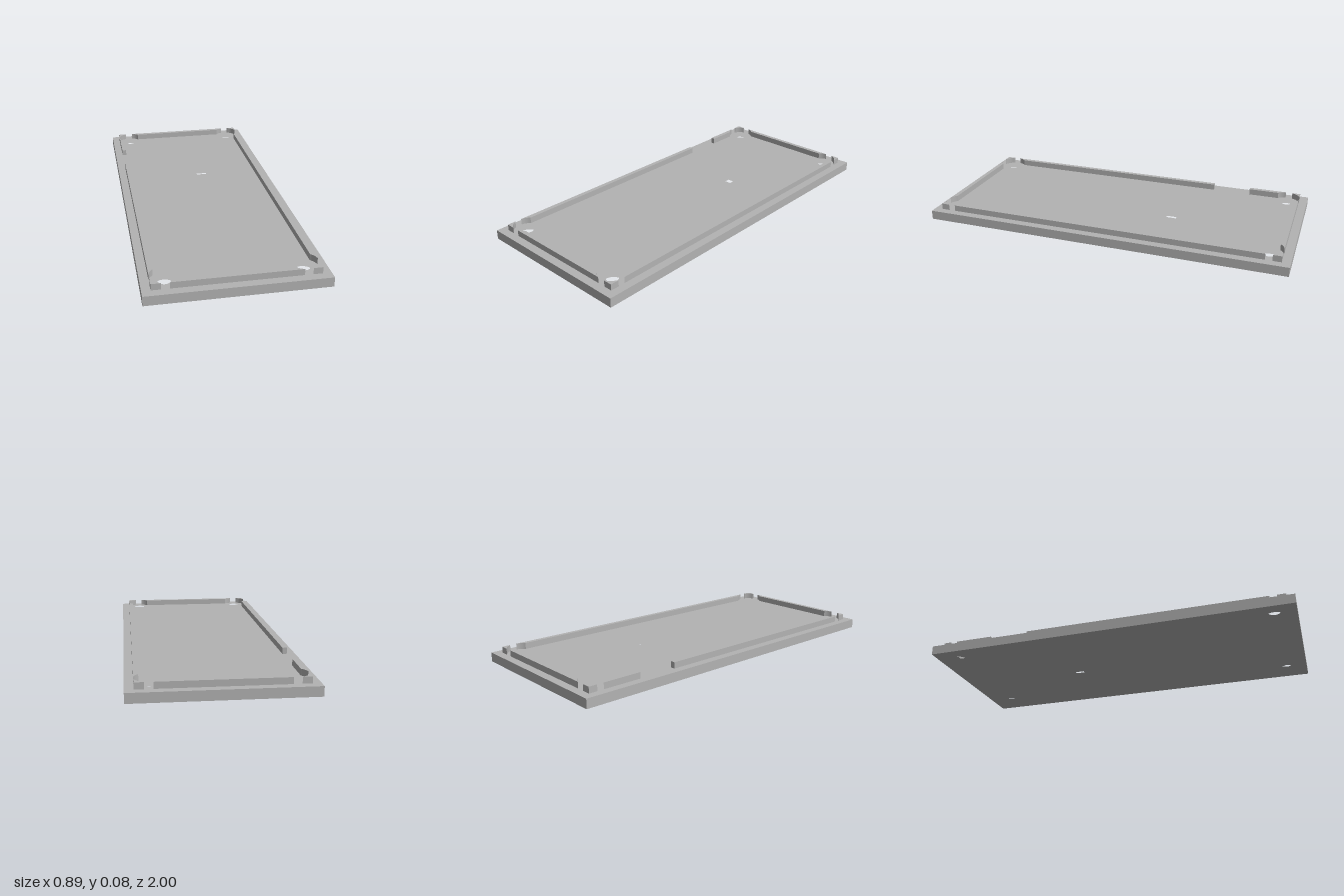
import * as THREE from 'three';

const HALF_X = 0.447, HALF_Z = 1;              // plate
const RIM_X = 0.404, RIM_Z = 0.956, RIM_T = 0.024; // lip outer extents, thickness
const HOLE_X = 0.333, HOLE_Z = 0.886;          // screw hole centres
const CLEAR = 0.072;                           // round clearance cut from the lip
const Y_STEP = 0.025, Y_PLATE = 0.05, Y_RIM = 0.083;

export function createModel() {
  const group = new THREE.Group();
  const grey = new THREE.MeshStandardMaterial({ color: 0xb3b3b3 });
  grey.name = 'grey plastic';

  // Extrude a plan shape (points are x, -z) between two heights
  function slab(name, shape, y0, y1) {
    const geo = new THREE.ExtrudeGeometry(shape, { depth: y1 - y0, bevelEnabled: false, curveSegments: 40 });
    geo.rotateX(-Math.PI / 2);
    geo.translate(0, y0, 0);
    const mesh = new THREE.Mesh(geo, grey);
    mesh.name = name;
    group.add(mesh);
  }
  const polygon = (pts) => new THREE.Shape(pts.map(([x, z]) => new THREE.Vector2(x, -z)));
  const rect = (x0, x1, z0, z1) => [[x0, z0], [x1, z0], [x1, z1], [x0, z1]];

  // Base plate in two layers: wide screw-head recesses below, narrow holes above
  function plate(name, holeRadius, y0, y1) {
    const shape = polygon(rect(-HALF_X, HALF_X, -HALF_Z, HALF_Z));
    for (const sx of [-1, 1]) for (const sz of [-1, 1]) {
      shape.holes.push(new THREE.Path().absarc(sx * HOLE_X, sz * HOLE_Z, holeRadius, 0, Math.PI * 2, true));
    }
    shape.holes.push(polygon(rect(0.021, 0.09, -0.335, -0.266)));
    slab(name, shape, y0, y1);
  }
  plate('lowerPlate', 0.048, 0, Y_STEP);
  plate('upperPlate', 0.031, Y_STEP, Y_PLATE);

  // Lip rail along u, facing outward in v; an end left null is cut round the screw hole
  function rail(name, outer, holeU, holeV, map, u0 = null, u1 = null) {
    const start = [], end = [];
    for (let i = 0; i <= 8; i++) {
      const v = outer - RIM_T * (1 - i / 8);
      const cut = holeU - Math.sqrt(CLEAR ** 2 - (v - holeV) ** 2);
      start.push(map(u0 ?? -cut, v));
      end.push(map(u1 ?? cut, v));
    }
    slab(name, polygon([...start, ...end.reverse()]), Y_PLATE, Y_RIM);
  }
  rail('frontRail', RIM_Z, HOLE_X, HOLE_Z, (u, v) => [u, v]);
  rail('backRail', RIM_Z, HOLE_X, HOLE_Z, (u, v) => [u, -v]);
  rail('leftRail', RIM_X, HOLE_Z, HOLE_X, (u, v) => [v, u]);
  // The right side has a cable gap
  rail('rightRailLong', RIM_X, HOLE_Z, HOLE_X, (u, v) => [-v, u], -0.447, null);
  rail('rightRailShort', RIM_X, HOLE_Z, HOLE_X, (u, v) => [-v, u], null, -0.662);

  // Corner pieces left outside the round clearances
  const a0 = Math.acos((RIM_X - HOLE_X) / CLEAR);
  const dz = RIM_Z - HOLE_Z, dx = RIM_X - HOLE_X;
  const from = Math.max(a0, Math.asin(0.024 / CLEAR)), to = Math.PI / 2 - Math.asin(0.024 / CLEAR);
  for (const sx of [-1, 1]) for (const sz of [-1, 1]) {
    const pts = [[dx, dz]];
    for (let i = 0; i <= 10; i++) {
      const a = from + (to - from) * i / 10;
      pts.push([Math.min(dx, CLEAR * Math.cos(a)), Math.min(dz, CLEAR * Math.sin(a))]);
    }
    // Square the arc ends off to the outer faces
    pts[1][0] = dx;
    pts[11][1] = dz;
    slab('cornerPiece', polygon(pts.map(([x, z]) => [sx * (HOLE_X + x), sz * (HOLE_Z + z)])), Y_PLATE, Y_RIM);
  }
  return group;
}
